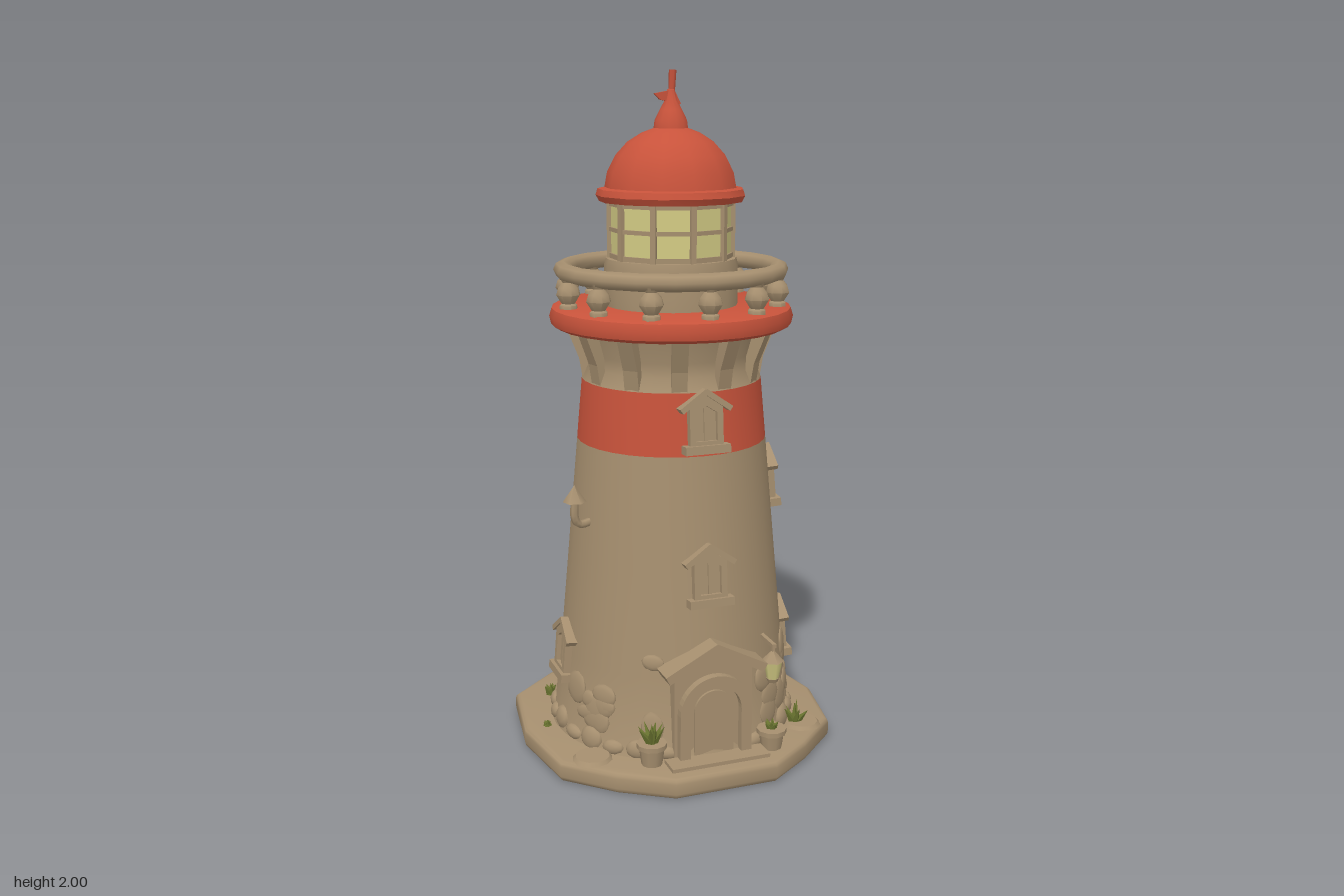
import * as THREE from 'three';
import { toCreasedNormals } from 'three/addons/utils/BufferGeometryUtils.js';

const mat = (name, color) => {
  const m = new THREE.MeshStandardMaterial({ color });
  m.name = name;
  return m;
};
const V2 = (a) => a.map(([x, y]) => new THREE.Vector2(x, y));

export function createModel() {
  const model = new THREE.Group();
  model.name = 'lighthouse';
  const stone = mat('stone', 0xa68f6f);
  const red = mat('red paint', 0xc8533b);
  const glass = mat('glass', 0xd3cb84);
  const green = mat('leaves', 0x68722f);

  const add = (parent, name, geo, m, x = 0, y = 0, z = 0) => {
    const mesh = new THREE.Mesh(geo, m);
    mesh.name = name;
    mesh.position.set(x, y, z);
    parent.add(mesh);
    return mesh;
  };
  const group = (name, parent = model) => {
    const g = new THREE.Group();
    g.name = name;
    parent.add(g);
    return g;
  };
  const lathe = (pts, seg, crease = 0.7) => toCreasedNormals(new THREE.LatheGeometry(V2(pts), seg), crease);
  const box = (w, h, d) => new THREE.BoxGeometry(w, h, d);
  const extrude = (shape, depth) => new THREE.ExtrudeGeometry(shape, { depth, bevelEnabled: false, curveSegments: 10 });
  // Tower wall radius at a height
  const R = (y) => 0.36 - 0.0896 * (y - 0.06);
  let seed = 7;
  const rnd = () => (seed = (seed * 16807) % 2147483647) / 2147483647;

  // Irregular ground slab
  const outline = V2([[-0.15, -0.45], [0.15, -0.45], [0.27, -0.385], [0.41, -0.25], [0.455, 0.02], [0.41, 0.24],
    [0.28, 0.36], [0.15, 0.45], [-0.15, 0.45], [-0.29, 0.36], [-0.415, 0.24], [-0.455, 0], [-0.42, -0.25], [-0.28, -0.375]]);
  const slab = new THREE.ExtrudeGeometry(new THREE.Shape(outline),
    { depth: 0.03, bevelThickness: 0.016, bevelSize: 0.015, bevelSegments: 3 });
  slab.rotateX(Math.PI / 2).translate(0, 0.046, 0);
  add(model, 'baseSlab', toCreasedNormals(slab, 0.8), stone);
  for (const [x, z] of [[0.3, -0.3], [-0.335, 0.255], [0.33, 0.25]]) {
    add(model, 'pavingStone', new THREE.CylinderGeometry(0.05, 0.06, 0.012, 12), stone, x, 0.066, z);
  }

  // Tower wall and painted band
  add(model, 'towerWall', lathe([[0.375, 0.055], [0.362, 0.085], [R(0.3), 0.3], [R(0.6), 0.6], [R(0.94), 0.94]], 32), stone);
  add(model, 'paintedBand', lathe([[R(0.94), 0.94], [R(1.12), 1.12]], 32), red);
  add(model, 'towerNeck', lathe([[R(1.12), 1.12], [0.248, 1.16], [0.25, 1.2], [0.275, 1.285]], 32), stone);

  // Corbels flaring out under the gallery
  const corbels = group('corbels');
  const corbelShape = new THREE.Shape(V2([[0.22, 1.12], [0.262, 1.12], [0.272, 1.18], [0.312, 1.28], [0.22, 1.28]]));
  for (let i = 0; i < 12; i++) {
    const pivot = group('corbel', corbels);
    pivot.rotation.y = (i + 0.5) * Math.PI / 6;
    add(pivot, 'corbelBlock', extrude(corbelShape, 0.045), stone, 0, 0, -0.0225);
  }

  // Gallery floor, balusters and rail
  add(model, 'galleryFloor', lathe([[0, 1.275], [0.335, 1.272], [0.352, 1.282], [0.357, 1.305], [0.35, 1.328],
    [0.335, 1.335], [0, 1.335]], 28), red);
  const railing = group('railing');
  const baluster = lathe([[0.026, 1.33], [0.026, 1.345], [0.02, 1.35], [0.036, 1.375], [0.03, 1.395], [0.017, 1.41], [0.024, 1.425]], 8, 1);
  for (let i = 0; i < 12; i++) {
    const a = i * Math.PI / 6;
    add(railing, 'baluster', baluster, stone, 0.312 * Math.sin(a), 0, 0.312 * Math.cos(a));
  }
  const rail = new THREE.TorusGeometry(0.315, 0.028, 8, 20).rotateX(Math.PI / 2).scale(1, 0.9, 1);
  add(railing, 'handRail', rail, stone, 0, 1.436, 0);

  // Lantern room: drum, glazing, posts and bars
  const lantern = group('lanternRoom');
  add(lantern, 'lanternDrum', lathe([[0.195, 1.33], [0.195, 1.45], [0.19, 1.47], [0, 1.47]], 20), stone);
  add(lantern, 'lanternGlass', toCreasedNormals(new THREE.CylinderGeometry(0.176, 0.176, 0.18, 10, 1, true), 0.3), glass, 0, 1.55, 0);
  for (const [y, h] of [[1.475, 0.018], [1.553, 0.012], [1.628, 0.018]]) {
    add(lantern, 'glazingBar', toCreasedNormals(new THREE.CylinderGeometry(0.182, 0.182, h, 10), 0.3), stone, 0, y, 0);
  }
  for (let i = 0; i < 10; i++) {
    const a = i * Math.PI / 5;
    const post = add(lantern, 'glazingPost', box(0.016, 0.17, 0.018), stone, 0.177 * Math.sin(a), 1.55, 0.177 * Math.cos(a));
    post.rotation.y = a;
  }

  // Domed roof with finial and vane
  const roof = group('roof');
  add(roof, 'dome', lathe([[0, 1.632], [0.208, 1.632], [0.218, 1.65], [0.212, 1.668], [0.192, 1.672], [0.184, 1.715], [0.16, 1.762],
    [0.125, 1.8], [0.085, 1.825], [0.05, 1.838], [0.047, 1.86], [0.032, 1.89], [0.018, 1.915], [0.011, 1.945], [0, 1.95]], 13, 0.75), red);
  const spike = add(roof, 'spike', new THREE.CylinderGeometry(0.011, 0.009, 0.075, 6), red, 0.003, 1.962, 0);
  spike.rotation.z = -0.05;
  const vane = new THREE.Shape(V2([[-0.052, 1.934], [0.008, 1.945], [0.028, 1.905], [0.004, 1.895], [-0.012, 1.912], [-0.034, 1.917]]));
  add(roof, 'vane', extrude(vane, 0.012), red, 0, 0, -0.006);

  // Mount on the wall: local z points outward
  const onWall = (name, a, y, r = R(y)) => {
    const g = group(name);
    g.position.set(r * Math.sin(a), y, r * Math.cos(a));
    g.rotation.y = a;
    return g;
  };
  const gable = (g, half, eave, rise, depth, thick) => {
    for (const s of [-1, 1]) {
      const slope = add(g, 'gableSlope', box(Math.hypot(half, rise) + thick * 0.4, thick, depth), stone, s * half / 2, eave + rise / 2, 0);
      slope.rotation.z = -s * Math.atan2(rise, half);
    }
  };

  // Gabled windows
  const windowAt = (a, y) => {
    const g = onWall('window', a, y);
    const frame = new THREE.Shape(V2([[-0.05, 0.02], [0.05, 0.02], [0.05, 0.13], [0, 0.165], [-0.05, 0.13]]));
    frame.holes.push(new THREE.Path(V2([[-0.032, 0.035], [-0.032, 0.115], [0, 0.135], [0.032, 0.115], [0.032, 0.035]])));
    add(g, 'windowFrame', extrude(frame, 0.06), stone, 0, 0, -0.043);
    add(g, 'windowPanel', box(0.09, 0.12, 0.04), stone, 0, 0.08, -0.016);
    add(g, 'windowMullion', box(0.01, 0.11, 0.04), stone, 0, 0.08, -0.01);
    add(g, 'windowSill', box(0.135, 0.024, 0.06), stone, 0, 0.012, -0.002);
    const hood = group('windowHood', g);
    hood.position.z = -0.008;
    gable(hood, 0.072, 0.125, 0.05, 0.06, 0.016);
    g.rotation.order = 'YXZ';
    g.rotation.x = -0.08;
  };
  const H = Math.PI / 2;
  for (const [a, y] of [[0, 0.51], [0, 0.95], [H - 0.1, 0.22], [H - 0.1, 0.71], [-H, 0.22], [Math.PI, 0.95]]) windowAt(a, y);

  // Arched doorway with gabled porch
  const door = group('doorway');
  const arch = (w, spring, Kind) => {
    const s = new Kind();
    s.moveTo(-w, 0.06);
    s.lineTo(w, 0.06);
    s.lineTo(w, spring);
    s.absarc(0, spring, w, 0, Math.PI, false);
    s.lineTo(-w, 0.06);
    return s;
  };
  const wall = new THREE.Shape(V2([[-0.12, 0.06], [0.12, 0.06], [0.12, 0.33], [0, 0.395], [-0.12, 0.33]]));
  add(door, 'porchWall', extrude(wall, 0.1), stone, 0, 0, 0.255);
  const surround = arch(0.11, 0.205, THREE.Shape);
  surround.holes.push(arch(0.078, 0.205, THREE.Path));
  add(door, 'doorSurround', extrude(surround, 0.03), stone, 0, 0, 0.35);
  add(door, 'doorPanel', extrude(arch(0.06, 0.205, THREE.Shape), 0.01), stone, 0, 0, 0.353);
  add(door, 'doorStep', box(0.3, 0.014, 0.07), stone, 0, 0.066, 0.39);
  const porch = group('porchRoof', door);
  porch.position.z = 0.325;
  gable(porch, 0.145, 0.325, 0.075, 0.12, 0.026);

  // Hanging lamp beside the door
  const lamp = group('wallLamp');
  lamp.position.set(0.185, 0, 0.355);
  add(lamp, 'lampGlass', new THREE.CylinderGeometry(0.028, 0.017, 0.055, 6), glass, 0, 0.3, 0);
  add(lamp, 'lampCap', new THREE.ConeGeometry(0.034, 0.035, 6), stone, 0, 0.345, 0);
  add(lamp, 'lampBase', new THREE.CylinderGeometry(0.019, 0.014, 0.012, 6), stone, 0, 0.268, 0);
  add(lamp, 'lampBracket', box(0.012, 0.012, 0.1), stone, 0, 0.375, -0.04);
  add(lamp, 'lampHanger', box(0.008, 0.04, 0.008), stone, 0, 0.36, 0);

  // Elbow vent pipes with pointed caps
  const ventPipe = (x, y, z, reach) => {
    const g = group('ventPipe');
    g.position.set(x, y, z);
    g.rotation.y = -Math.atan2(z, x);
    const path = new THREE.CatmullRomCurve3([[-reach, 0.01], [-0.015, 0.005], [0, 0.025], [0, 0.075]].map(([a, b]) => new THREE.Vector3(a, b, 0)));
    add(g, 'pipe', new THREE.TubeGeometry(path, 10, 0.012, 6), stone);
    add(g, 'pipeCap', new THREE.ConeGeometry(0.034, 0.05, 6), stone, 0, 0.1, 0);
  };
  ventPipe(0.215, 1.505, -0.16, 0.09);
  ventPipe(-0.332, 0.715, 0.1, 0.07);

  // Potted plants and tufts
  const plant = (x, z, potH, leafH, n) => {
    const g = group(potH ? 'pottedPlant' : 'grassTuft');
    g.position.set(x, 0.06, z);
    if (potH) {
      add(g, 'pot', new THREE.CylinderGeometry(0.038, 0.03, potH, 10), stone, 0, potH / 2, 0);
      add(g, 'potRim', new THREE.CylinderGeometry(0.044, 0.044, 0.014, 10), stone, 0, potH, 0);
    }
    for (let i = 0; i < n; i++) {
      const pivot = group('leafPivot', g);
      pivot.position.y = potH;
      pivot.rotation.set(0, i * 2.4, i ? -0.35 - 0.4 * rnd() : 0, 'YXZ');
      const leaf = new THREE.ConeGeometry(0.015, leafH * (0.8 + 0.3 * rnd()), 4).translate(0, leafH / 2, 0);
      add(pivot, 'leaf', toCreasedNormals(leaf, 0.3), green);
    }
  };
  plant(-0.185, 0.345, 0.06, 0.07, 9);
  plant(0.18, 0.365, 0.055, 0.035, 8);
  for (const [x, z, h] of [[0.31, 0.245, 0.07], [0.345, -0.19, 0.045], [-0.33, -0.215, 0.04], [0.372, -0.06, 0.035], [-0.4, 0, 0.02]]) {
    plant(x, z, 0, h, 6);
  }

  // Rubble round the foot and flakes of exposed masonry
  const rubble = group('rubble');
  const stoneAt = (name, a, y, w, h, d) => {
    const r = R(y);
    const s = add(rubble, name, new THREE.IcosahedronGeometry(1, 1), stone, r * Math.sin(a), y, r * Math.cos(a));
    s.scale.set(w, h, d);
    s.rotation.set(-0.09, a, (rnd() - 0.5) * 0.5, 'YXZ');
  };
  for (let i = 0; i < 26; i++) {
    const a = 0.4 + i * (2 * Math.PI - 0.8) / 25;
    stoneAt('footStone', a, 0.075 + 0.02 * rnd(), 0.03 + 0.015 * rnd(), 0.02 + 0.02 * rnd(), 0.02);
  }
  for (let i = 0; i < 22; i++) {
    const a = (i % 2 ? 1 : -1) * (0.5 + 0.8 * rnd());
    stoneAt('masonryFlake', a, 0.14 + 0.36 * rnd() * rnd(), 0.03 + 0.02 * rnd(), 0.02 + 0.03 * rnd(), 0.009);
  }
  return model;
}
